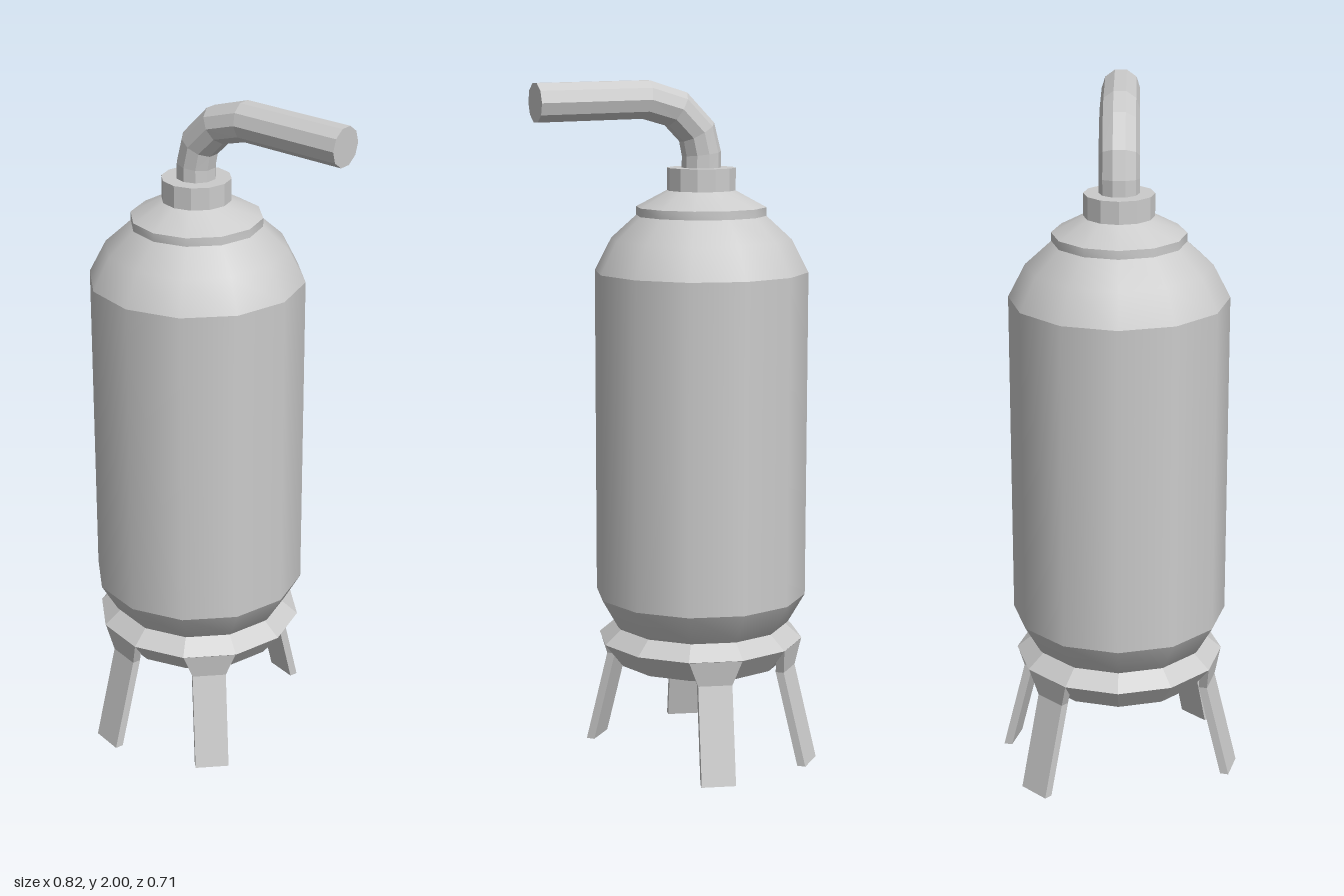
import * as THREE from 'three';
import { toCreasedNormals } from 'three/addons/utils/BufferGeometryUtils.js';

const SIDES = 12;
const smooth = new THREE.MeshStandardMaterial({ color: 0xcccccc, side: THREE.DoubleSide });
const flat = new THREE.MeshStandardMaterial({ color: 0xcccccc, flatShading: true, side: THREE.DoubleSide });

function add(parent, name, geometry, material) {
  const mesh = new THREE.Mesh(geometry, material);
  mesh.name = name;
  parent.add(mesh);
  return mesh;
}

// Twelve-sided turned part from [radius, height] pairs, listed bottom to top
const turned = (profile) =>
  new THREE.LatheGeometry(profile.map(([r, y]) => new THREE.Vector2(r, y)), SIDES);

// Mitred tube along a path in the xy plane, closed with flat ends
function bentPipe(path, radius, sides) {
  const positions = [];
  const index = [];
  const pts = path.map(([x, y]) => new THREE.Vector3(x, y, 0));
  const last = pts.length - 1;
  pts.forEach((p, i) => {
    const before = p.clone().sub(pts[Math.max(i - 1, 0)]).normalize();
    const after = pts[Math.min(i + 1, last)].clone().sub(p).normalize();
    const t = before.add(after).normalize();
    for (let j = 0; j < sides; j++) {
      const a = (j / sides) * Math.PI * 2;
      const n = Math.sin(a) * radius;
      positions.push(p.x - t.y * n, p.y + t.x * n, Math.cos(a) * radius);
      if (i < last) {
        const k = (j + 1) % sides;
        const a0 = i * sides + j, b0 = i * sides + k;
        index.push(a0, a0 + sides, b0, b0, a0 + sides, b0 + sides);
      }
    }
  });
  for (let j = 1; j < sides - 1; j++) {
    index.push(0, j, j + 1);
    const e = last * sides;
    index.push(e, e + j + 1, e + j);
  }
  const g = new THREE.BufferGeometry();
  g.setAttribute('position', new THREE.Float32BufferAttribute(positions, 3));
  g.setIndex(index);
  g.computeVertexNormals();
  return g;
}

// Splayed leg pointing along +z, with a head that widens into the ring
function legGeometry() {
  const rows = [
    { y: 0.355, r: 0.294, w: 0.156 },
    { y: 0.28, r: 0.283, w: 0.1 },
    { y: 0, r: 0.353, w: 0.1 },
  ];
  const g = new THREE.BoxGeometry(1, 2, 1, 1, 2, 1);
  const p = g.attributes.position;
  for (let i = 0; i < p.count; i++) {
    const row = rows[1 - Math.round(p.getY(i))];
    p.setXYZ(i, p.getX(i) * row.w, row.y, row.r + (p.getZ(i) - 0.5) * 0.025);
  }
  g.computeVertexNormals();
  return g;
}

export function createModel() {
  const group = new THREE.Group();
  group.name = 'tank';

  // Upright vessel, standing off-centre under its pipe
  const vessel = new THREE.Group();
  vessel.name = 'vessel';
  vessel.position.x = -0.1;
  group.add(vessel);
  add(vessel, 'lowerDome', turned([[0, 0.275], [0.1, 0.285], [0.187, 0.33], [0.264, 0.405], [0.313, 0.49]]), smooth);
  add(vessel, 'shell', turned([[0.313, 0.49], [0.313, 1.45]]), smooth);
  add(vessel, 'upperDome', turned([[0.313, 1.45], [0.264, 1.545], [0.187, 1.615]]), smooth);
  add(vessel, 'collar',
    toCreasedNormals(turned([[0.17, 1.61], [0.19, 1.61], [0.19, 1.637], [0.1, 1.685]]), 0.6), smooth);
  add(vessel, 'neck', turned([[0.1, 1.68], [0.1, 1.75], [0, 1.75]]), flat);

  // Support ring
  add(vessel, 'supportRing',
    turned([[0.25, 0.285], [0.305, 0.355], [0.252, 0.4], [0.25, 0.285]]), flat);

  // Two pairs of legs, each under one side of the ring
  const leg = legGeometry();
  for (const degrees of [45, 105, 225, 285]) {
    const mesh = add(vessel, 'leg', leg, flat);
    mesh.rotation.y = THREE.MathUtils.degToRad(90 - degrees);
  }

  // Outlet pipe bending over to the side
  add(group, 'outletPipe', bentPipe([
    [-0.1, 1.74], [-0.1, 1.79], [-0.085, 1.852], [-0.02, 1.918], [0.075, 1.946], [0.406, 1.94],
  ], 0.057, 10), flat);

  return group;
}
